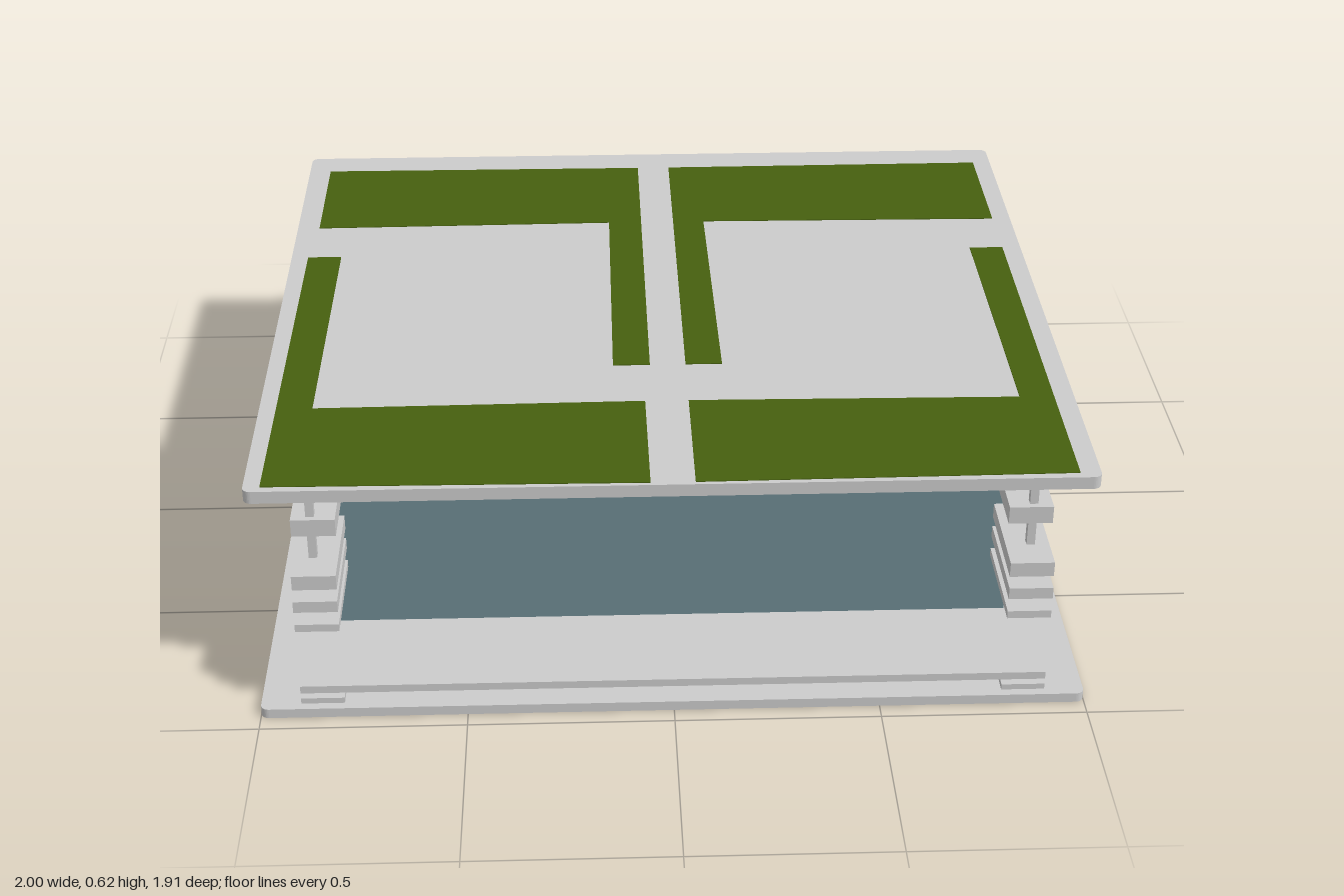
import * as THREE from 'three';

const grey = new THREE.MeshStandardMaterial({ color: 0xcccccc });
const glass = new THREE.MeshStandardMaterial({ color: 0x6f8a92 });
const green = new THREE.MeshStandardMaterial({ color: 0x46600f });

// Box given by its extents along each axis
function block(name, [x0, x1], [y0, y1], [z0, z1], material = grey) {
  const mesh = new THREE.Mesh(new THREE.BoxGeometry(x1 - x0, y1 - y0, z1 - z0), material);
  mesh.position.set((x0 + x1) / 2, (y0 + y1) / 2, (z0 + z1) / 2);
  mesh.name = name;
  return mesh;
}

// Flat plate from an outline in x and z
function plate(name, shape, y0, y1, material = grey) {
  const geometry = new THREE.ExtrudeGeometry(shape, { depth: y1 - y0, bevelEnabled: false, curveSegments: 4 });
  geometry.rotateX(Math.PI / 2);
  const mesh = new THREE.Mesh(geometry, material);
  mesh.position.y = y1;
  mesh.name = name;
  return mesh;
}

// Rectangle with small rounded corners
function slabShape(z0, z1, r = 0.02) {
  const s = new THREE.Shape();
  s.absarc(1 - r, z1 - r, r, 0, Math.PI / 2);
  s.absarc(-1 + r, z1 - r, r, Math.PI / 2, Math.PI);
  s.absarc(-1 + r, z0 + r, r, Math.PI, Math.PI * 1.5);
  s.absarc(1 - r, z0 + r, r, Math.PI * 1.5, Math.PI * 2);
  return s;
}

// Louvres, return wall and post on one side
function sideScreen(side) {
  const group = new THREE.Group();
  group.name = side > 0 ? 'leftScreen' : 'rightScreen';
  const span = (a, b) => (side > 0 ? [a, b] : [-b, -a]);
  const bars = [ // y range, z range
    [0.57, 0.585, 0.46, 0.82],
    [0.543, 0.56, 0.46, 0.82],
    [0.47, 0.515, 0.40, 0.88],
    [0.362, 0.40, 0.10, 0.945],
    [0.305, 0.335, 0.085, 0.955],
    [0.25, 0.27, 0.13, 0.955],
    [0.04, 0.055, 0.10, 0.955],
  ];
  for (const [y0, y1, z0, z1] of bars) group.add(block('louvre', span(0.795, 0.90), [y0, y1], [z0, z1]));
  group.add(block('returnWall', span(0.83, 0.90), [0.025, 0.32], [0.085, 0.13]));
  group.add(block('post', span(0.845, 0.865), [0.38, 0.59], [0.845, 0.865]));
  return group;
}

export function createModel() {
  const model = new THREE.Group();
  model.name = 'pavilion';

  // Slabs and glazed hall
  model.add(plate('baseSlab', slabShape(-0.95, 0.957), 0, 0.025));
  model.add(plate('roofSlab', slabShape(-0.95, 0.92), 0.588, 0.62));
  model.add(block('glassHall', [-0.84, 0.84], [0.025, 0.59], [-0.42, 0.68], glass));
  model.add(block('terrace', [-0.90, 0.90], [0.07, 0.09], [0.13, 0.955]));

  // Low parapet around the back, with a thin cap
  for (const [name, y, material] of [['parapet', [0.025, 0.108], glass], ['parapetCap', [0.108, 0.115], grey]]) {
    model.add(block(name, [-0.99, 0.99], y, [-0.945, -0.935], material));
    for (const s of [-1, 1]) {
      const span = (a, b) => (s > 0 ? [a, b] : [-b, -a]);
      model.add(block(name, span(0.98, 0.99), y, [-0.935, 0.10], material));
      model.add(block(name, span(0.84, 0.98), y, [0.09, 0.10], material));
    }
  }

  for (const side of [-1, 1]) model.add(sideScreen(side));

  // Planted roof beds
  const beds = [
    [[-0.94, -0.855], [-0.04, -0.85], [-0.04, 0.345], [-0.133, 0.345], [-0.13, -0.485], [-0.94, -0.475]],
    [[0.05, -0.85], [0.95, -0.855], [0.95, -0.475], [0.135, -0.485], [0.142, 0.345], [0.05, 0.345]],
    [[-0.955, -0.29], [-0.865, -0.29], [-0.87, 0.54], [-0.057, 0.53], [-0.055, 0.91], [-0.96, 0.90]],
    [[0.86, -0.29], [0.95, -0.29], [0.95, 0.90], [0.05, 0.91], [0.05, 0.53], [0.865, 0.54]],
  ];
  for (const bed of beds) {
    const shape = new THREE.Shape(bed.map(([x, z]) => new THREE.Vector2(x, z)));
    model.add(plate('roofBed', shape, 0.615, 0.622, green));
  }
  return model;
}
